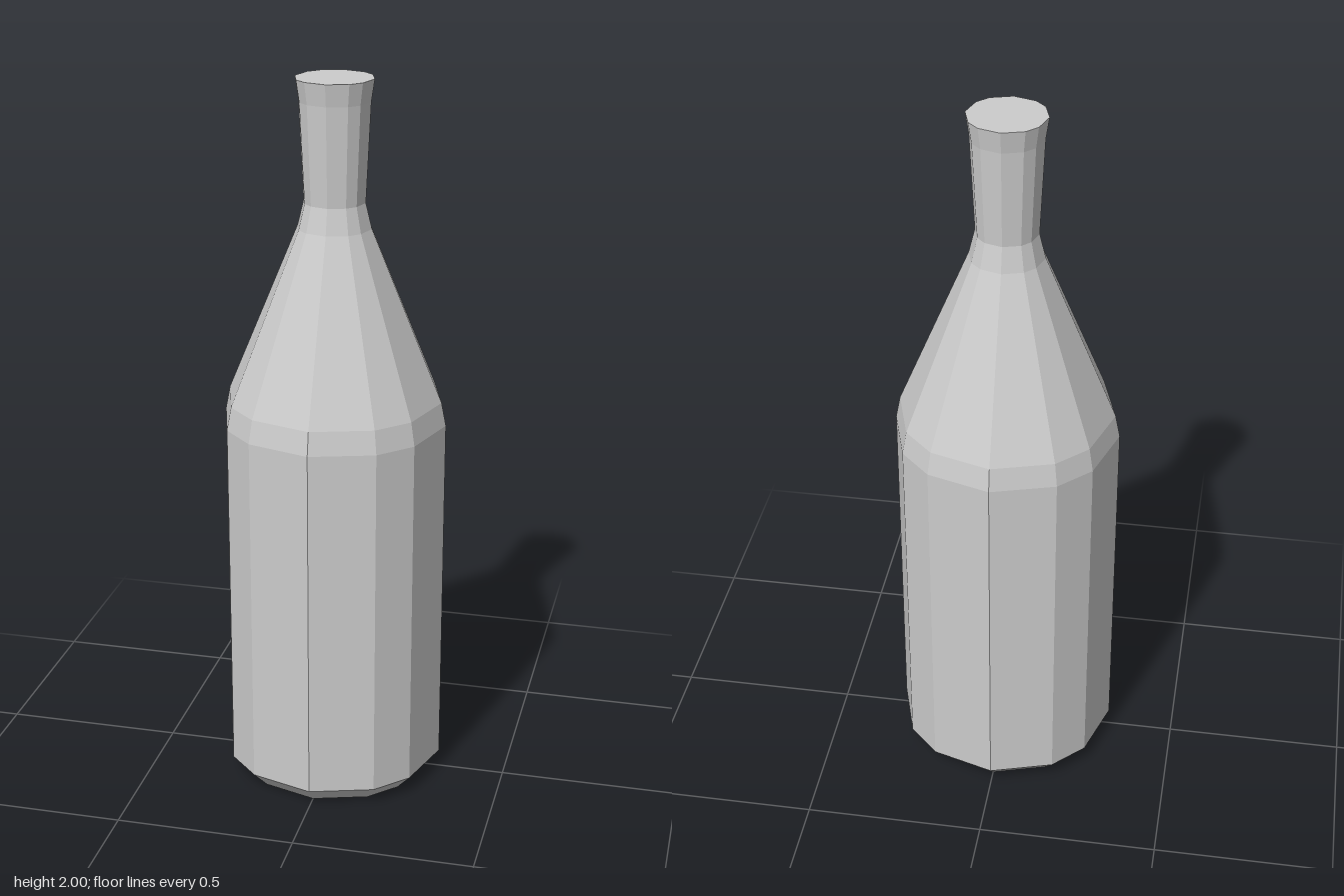
import * as THREE from 'three';

export function createModel() {
  const group = new THREE.Group();
  const material = new THREE.MeshStandardMaterial({ color: 0xcccccc, flatShading: true });

  // Bottle outline from base to capped mouth: [radius, height]
  const profile = [
    [0, 0], [0.265, 0], [0.312, 0.05], [0.312, 1.06], [0.299, 1.125],
    [0.102, 1.6], [0.085, 1.67], [0.098, 1.94], [0.107, 2], [0, 2],
  ].map(([r, y]) => new THREE.Vector2(r, y));

  const sides = 12;
  const geometry = new THREE.LatheGeometry(profile, sides);

  // Uneven sides: each quarter has corners at 0, 34 and 56 degrees
  const corners = [0, 33.9, 56.1];
  const position = geometry.attributes.position;
  for (let i = 0; i <= sides; i++) {
    const angle = THREE.MathUtils.degToRad(Math.floor(i / 3) * 90 + corners[i % 3]);
    profile.forEach((p, j) => {
      position.setXYZ(i * profile.length + j, p.x * Math.sin(angle), p.y, p.x * Math.cos(angle));
    });
  }
  geometry.computeVertexNormals();

  const bottle = new THREE.Mesh(geometry, material);
  bottle.name = 'bottle';
  group.add(bottle);
  return group;
}
